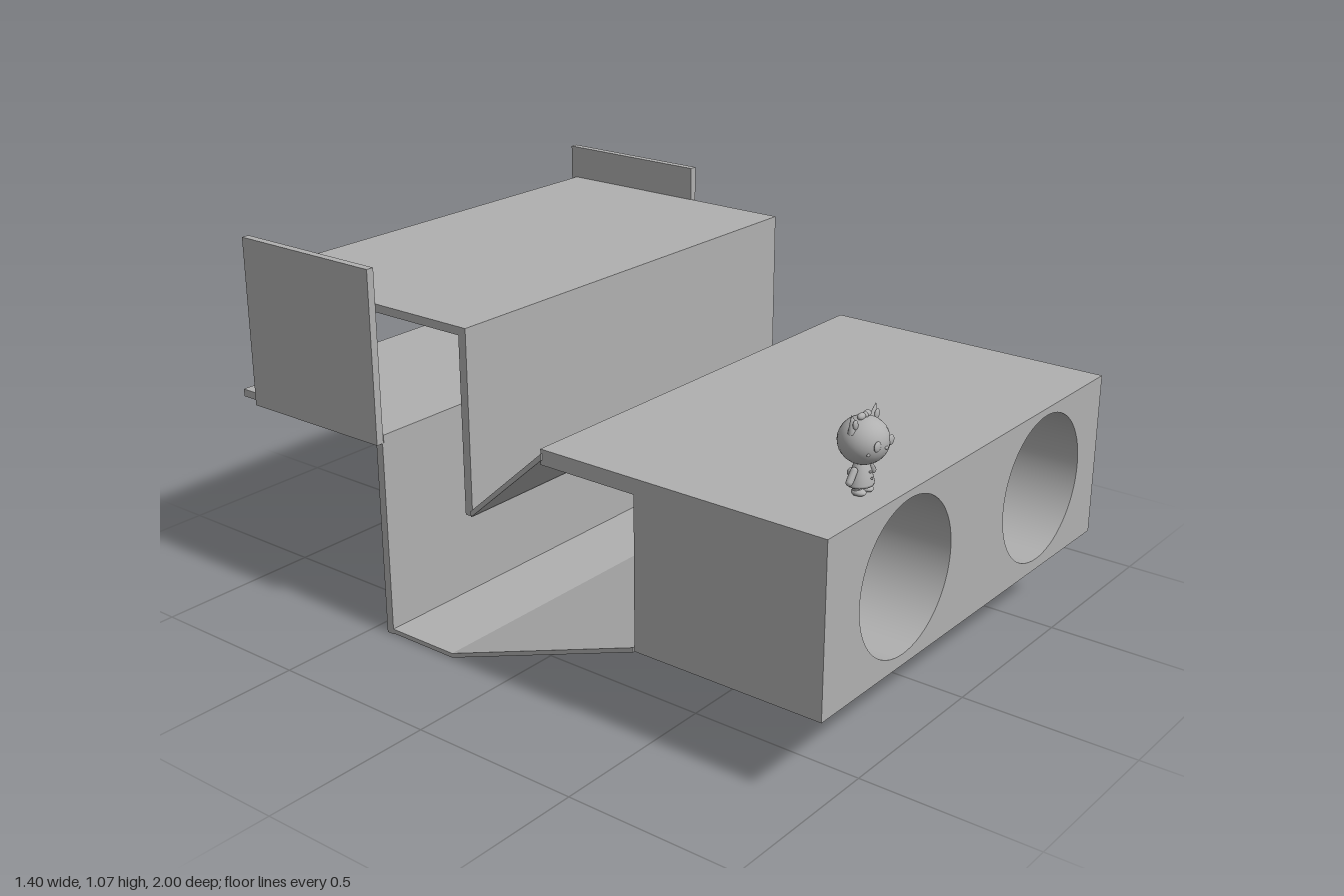
import * as THREE from 'three';
import { toCreasedNormals } from 'three/addons/utils/BufferGeometryUtils.js';

const grey = new THREE.MeshStandardMaterial({ color: 0xb0b0b0 });
grey.name = 'plain grey';

function add(parent, name, geometry, x = 0, y = 0, z = 0) {
  const mesh = new THREE.Mesh(geometry, grey);
  mesh.name = name;
  mesh.position.set(x, y, z);
  parent.add(mesh);
  return mesh;
}

// Prism running across x from a side profile of [z, y] points
function slab(parent, name, points, x0, x1) {
  const shape = new THREE.Shape(points.map(([z, y]) => new THREE.Vector2(-z, y)));
  const geometry = new THREE.ExtrudeGeometry(shape, { depth: x1 - x0, bevelEnabled: false });
  geometry.rotateY(Math.PI / 2);
  return add(parent, name, geometry, x0);
}

const rect = (z0, z1, y0, y1) => [[z0, y0], [z1, y0], [z1, y1], [z0, y1]];

// Front block with two round tunnels
function frontBlock(parent) {
  const shape = new THREE.Shape();
  shape.moveTo(-0.675, 0.235).lineTo(0.683, 0.235).lineTo(0.683, 0.705).lineTo(-0.675, 0.705);
  for (const x of [-0.32, 0.365]) {
    shape.holes.push(new THREE.Path().absarc(x, 0.475, 0.209, 0, Math.PI * 2, true));
  }
  const geometry = new THREE.ExtrudeGeometry(shape, { depth: 0.56, bevelEnabled: false, curveSegments: 32 });
  add(parent, 'frontBlock', toCreasedNormals(geometry, 0.5), 0, 0, 0.44);
}

// Small standing cat figure, origin at its feet
function catFigure() {
  const cat = new THREE.Group();
  cat.name = 'catFigure';
  const ball = (name, r, sx, sy, sz, x, y, z) => {
    const mesh = add(cat, name, new THREE.SphereGeometry(r, 24, 16), x, y, z);
    mesh.scale.set(sx, sy, sz);
    return mesh;
  };

  ball('head', 0.063, 1, 0.94, 1, 0, 0.137, 0.003);

  // Flared dress
  const dress = [[0, 0.02], [0.036, 0.024], [0.037, 0.03], [0.031, 0.05], [0.022, 0.075], [0.012, 0.09]];
  const body = add(cat, 'dress', new THREE.LatheGeometry(dress.map(([r, y]) => new THREE.Vector2(r, y)), 24));
  body.scale.z = 0.85;

  for (const s of [-1, 1]) {
    const ear = add(cat, 'ear', new THREE.ConeGeometry(0.02, 0.046, 16), s * 0.046, 0.192, 0);
    ear.scale.z = 0.6;
    ear.rotation.z = -s * 0.3;
    ball('innerEar', 0.01, 0.9, 1.3, 0.5, s * 0.046, 0.188, 0.008).rotation.z = -s * 0.3;
    const arm = add(cat, 'arm', new THREE.CapsuleGeometry(0.009, 0.03, 6, 12), s * 0.041, 0.055, 0);
    arm.rotation.z = s * 0.65;
    add(cat, 'leg', new THREE.CylinderGeometry(0.014, 0.011, 0.03, 16), s * 0.015, 0.017, 0);
    ball('foot', 0.015, 1, 0.6, 1.3, s * 0.016, 0.009, 0.005);
    ball('eye', 0.013, 1, 1, 0.4, s * 0.029, 0.141, 0.059);
    ball('cheek', 0.006, 1.2, 0.7, 0.4, s * 0.044, 0.122, 0.045);
    ball('bowLoop', 0.011, 1.2, 0.8, 0.8, s * 0.012, 0.198, 0.002);
  }
  ball('bowKnot', 0.008, 1, 1, 1, 0, 0.198, 0.004);
  ball('nose', 0.005, 1.2, 0.8, 0.8, 0, 0.132, 0.066);
  ball('tail', 0.01, 0.8, 1.2, 1, 0, 0.045, -0.028);
  for (const y of [0.045, 0.06]) ball('button', 0.003, 1, 1, 1, 0, y, 0.03 - (y - 0.045) * 0.35);
  return cat;
}

export function createModel() {
  const model = new THREE.Group();
  model.name = 'steppedStructure';
  const left = -0.675, right = 0.68;

  frontBlock(model);

  // Upper run: ledge, slope, riser wall and roof
  slab(model, 'ledge', rect(0.44, 0.14, 0.662, 0.705), left, 0.683);
  slab(model, 'slope', [[0.145, 0.676], [0.145, 0.694], [-0.107, 0.467], [-0.107, 0.45]], -0.68, right);
  slab(model, 'riserWall', rect(-0.105, -0.13, 0.45, 0.947), left, right);
  slab(model, 'roof', rect(-0.105, -0.9, 0.947, 0.97), left, right);

  // Lower run: ramp, floor, back wall and rear shelf
  slab(model, 'ramp', [[0.44, 0.235], [0.44, 0.248], [-0.2, 0.016], [-0.2, 0.003]], -0.68, right);
  slab(model, 'floor', rect(-0.2, -0.45, 0.003, 0.016), -0.68, right);
  slab(model, 'backWall', rect(-0.428, -0.452, 0, 0.578), -0.68, right);
  slab(model, 'rearShelf', rect(-0.428, -1, 0.578, 0.6), left, right);

  // Upright panels closing the sides of the rear level
  for (const s of [-1, 1]) {
    add(model, 'sidePanel', new THREE.BoxGeometry(0.023, 0.493, 0.492), s * 0.6885, 0.8235, -0.674);
  }

  const cat = catFigure();
  cat.position.set(-0.41, 0.705, 0.915);
  model.add(cat);
  return model;
}
